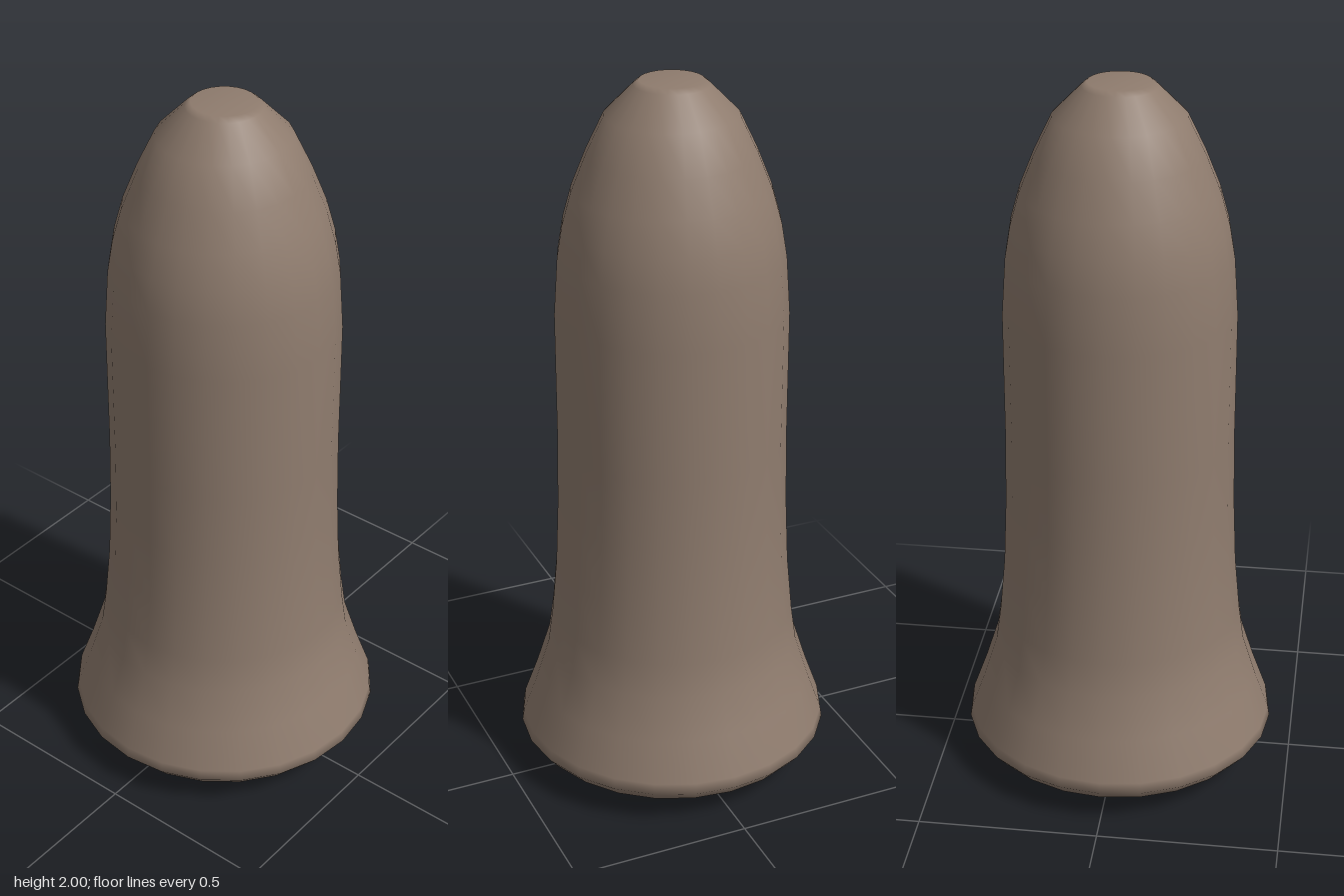
import * as THREE from 'three';

export function createModel() {
  const group = new THREE.Group();

  // Half profile (radius, height), from the centre of the base up to the blunt tip
  const profile = [
    [0, 0], [0.22, 0.005], [0.34, 0.03], [0.41, 0.065], [0.44, 0.1], [0.435, 0.13],
    [0.395, 0.24], [0.357, 0.36], [0.343, 0.46], [0.328, 0.62], [0.32, 0.8],
    [0.316, 1.0], [0.316, 1.37], [0.305, 1.53], [0.29, 1.62], [0.265, 1.71],
    [0.225, 1.81], [0.177, 1.91], [0.1, 1.988], [0.085, 2], [0, 2],
  ].map(([r, y]) => new THREE.Vector2(r, y));

  // Round body with a flared foot and a domed top
  const body = new THREE.Mesh(
    new THREE.LatheGeometry(profile, 24),
    new THREE.MeshStandardMaterial({ color: 0x8f7c6e })
  );
  body.name = 'flaredBody';
  group.add(body);

  return group;
}
